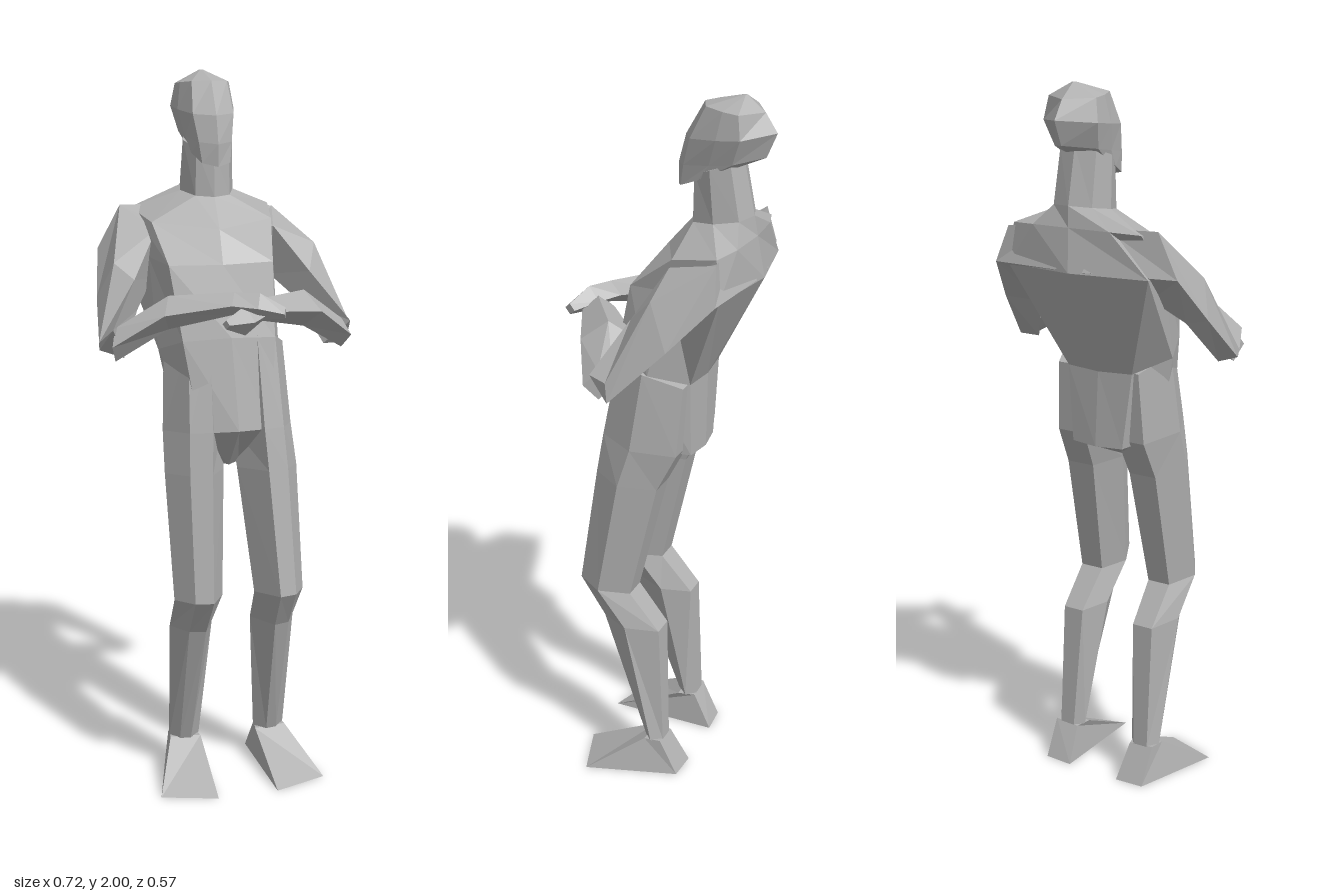
import * as THREE from 'three';

const grey = new THREE.MeshStandardMaterial({ color: 0xb0b0b0 });
grey.name = 'plain grey';

// Joins rings of corners into a closed, faceted solid facing outwards.
function loft(name, rings) {
  const tris = [];
  const n = rings[0].length;
  for (let r = 0; r < rings.length - 1; r++) {
    for (let i = 0; i < n; i++) {
      const j = (i + 1) % n;
      const a = rings[r][i], b = rings[r][j], c = rings[r + 1][j], d = rings[r + 1][i];
      tris.push([a, b, c], [a, c, d]);
    }
  }
  const first = rings[0], last = rings[rings.length - 1];
  for (let i = 1; i < n - 1; i++) {
    tris.push([first[0], first[i + 1], first[i]], [last[0], last[i], last[i + 1]]);
  }

  // A negative volume means the rings run the other way round
  const origin = new THREE.Vector3(...first[0]);
  const volume = tris.reduce((sum, t) => {
    const [a, b, c] = t.map(p => new THREE.Vector3(...p).sub(origin));
    return sum + a.dot(b.cross(c));
  }, 0);
  if (volume < 0) tris.forEach(t => t.reverse());

  const geometry = new THREE.BufferGeometry();
  geometry.setAttribute('position', new THREE.Float32BufferAttribute(tris.flat(2), 3));
  geometry.computeVertexNormals();
  const mesh = new THREE.Mesh(geometry, grey);
  mesh.name = name;
  return mesh;
}

// A ring from an outline of [sideways, front-to-back] fractions, tilted from front to back.
const ring = (outline, [cx, halfWidth, yFront, yBack, zFront, zBack]) => outline.map(([s, t]) => [
  cx + s * halfWidth,
  THREE.MathUtils.lerp(yFront, yBack, t),
  THREE.MathUtils.lerp(zFront, zBack, t),
]);

// Completes an outline running from front to back down the left side.
const mirrored = half => [...half, ...half.slice(1, -1).reverse().map(([s, t]) => [-s, t])];

const headOutline = mirrored([[0, 0], [.68, .13], [.95, .45], [1, .72], [0, 1]]);
const neckOutline = mirrored([[0, 0], [.65, .12], [1, .5], [.8, .88], [0, 1]]);
const shoulderOutline = mirrored([[0, 0], [.85, .32], [1, .86], [.6, .96], [0, 1]]);
const chestOutline = mirrored([[0, 0], [.66, .05], [.78, .42], [1, .88], [0, 1]]);
const waistOutline = mirrored([[0, 0], [.75, .1], [1, .55], [.6, .96], [0, 1]]);
const legOutline = [[-.3, 0], [.4, .08], [1, .5], [.5, 1], [-.5, 1], [-1, .55]];

function headAndTorso() {
  // Levels are [centre x, half width, front y, back y, front z, back z]
  const collar = ring(neckOutline, [-.005, .075, 1.665, 1.69, -.06, -.232]);
  const waist = ring(waistOutline, [-.01, .172, 1.31, 1.225, .13, -.105]);
  return [
    loft('head', [
      [-.005, .058, 1.75, 1.82, -.02, -.185],
      [-.005, .068, 1.81, 1.845, -.02, -.26],
      [-.005, .084, 1.885, 1.91, -.04, -.288],
      [-.005, .073, 1.975, 1.96, -.092, -.255],
      [-.005, .005, 2, 2, -.195, -.205],
    ].map(l => ring(headOutline, l))),
    loft('neck', [ring(neckOutline, [-.005, .07, 1.79, 1.84, -.065, -.2]), collar]),
    loft('chest', [
      collar,
      ring(shoulderOutline, [-.01, .2, 1.585, 1.635, .01, -.24]),
      ring(chestOutline, [-.02, .22, 1.5, 1.52, .08, -.258]),
      waist,
    ]),
    loft('pelvis', [
      waist,
      ring(waistOutline, [0, .135, 1.06, 1.01, .172, -.105]),
      ring(waistOutline, [0, .04, .94, 1, .07, -.07]),
    ]),
  ];
}

function leg(side) {
  // The right leg mirrors the left one, drifting slightly inwards towards the foot
  const place = corners => side > 0
    ? corners
    : corners.map(([x, y, z]) => [Math.max(0, .035 - .03 * y) - x, y, z]);
  const name = side > 0 ? 'left' : 'right';
  const part = (label, levels) => loft(name + label, levels.map(l => place(ring(legOutline, l))));
  const knee = [.125, .07, .595, .575, .23, .06];
  return [
    part('Thigh', [
      [.09, .08, 1.31, 1.23, .115, -.09],
      [.1, .086, 1.06, 1.03, .165, -.075],
      [.108, .085, .945, .92, .18, -.02],
      knee,
    ]),
    part('Shin', [
      knee,
      [.13, .063, .485, .47, .157, -.03],
      [.145, .045, .1, .1, .015, -.045],
    ]),
    loft(name + 'Foot', [
      [[.1, .1, .005], [.19, .105, .005], [.185, .105, -.043], [.11, .1, -.045]],
      [[.105, 0, .215], [.26, 0, .165], [.185, 0, -.095], [.1, 0, -.1]],
    ].map(place)),
  ];
}

// Diamond sections along a folded arm, as [x, y, z, half depth, half height].
function forearm(name, side, path) {
  return loft(name, path.map(([x, y, z, d, h]) => [
    [x, y + h, z],
    [x + side * .4 * d, y, z + .9 * d],
    [x, y - h, z],
    [x - side * .4 * d, y, z - .9 * d],
  ]));
}

// Upper arms run from inside the chest, over the shoulder, to the elbow
function leftArm() {
  return [
    loft('leftUpperArm', [
      [[.1, 1.57, -.08], [.07, 1.635, -.2], [.02, 1.525, -.252], [.1, 1.46, -.12]],
      [[.165, 1.58, -.065], [.205, 1.618, -.21], [.24, 1.52, -.222], [.165, 1.44, -.1]],
      [[.25, 1.46, .005], [.285, 1.53, -.065], [.295, 1.4, -.11], [.225, 1.38, -.04]],
      [[.345, 1.33, .08], [.358, 1.32, .03], [.35, 1.26, .03], [.285, 1.26, .03]],
    ]),
    forearm('leftForearmAndHand', 1, [
      [.325, 1.295, .065, .04, .04],
      [.205, 1.375, .09, .075, .05],
      [.055, 1.395, .19, .045, .03],
      [0, 1.375, .225, .04, .04],
      [-.065, 1.375, .27, .015, .012],
    ]),
  ];
}

function rightArm() {
  return [
    loft('rightUpperArm', [
      [[-.1, 1.57, -.08], [-.1, 1.635, -.2], [-.06, 1.525, -.252], [-.1, 1.46, -.12]],
      [[-.165, 1.58, -.08], [-.245, 1.638, -.18], [-.308, 1.52, -.187], [-.175, 1.44, -.1]],
      [[-.25, 1.46, .02], [-.295, 1.5, -.03], [-.335, 1.4, -.075], [-.235, 1.37, -.02]],
      [[-.33, 1.345, .115], [-.357, 1.3, .055], [-.355, 1.28, .05], [-.29, 1.257, .06]],
    ]),
    forearm('rightForearmAndHand', -1, [
      [-.32, 1.3, .09, .035, .045],
      [-.18, 1.385, .115, .055, .045],
      [-.02, 1.415, .19, .045, .03],
      [.04, 1.41, .225, .04, .035],
      [.1, 1.395, .255, .02, .015],
    ]),
  ];
}

export function createModel() {
  const model = new THREE.Group();
  model.name = 'standingFigure';
  model.add(...headAndTorso(), ...leftArm(), ...rightArm(), ...leg(1), ...leg(-1));
  return model;
}
